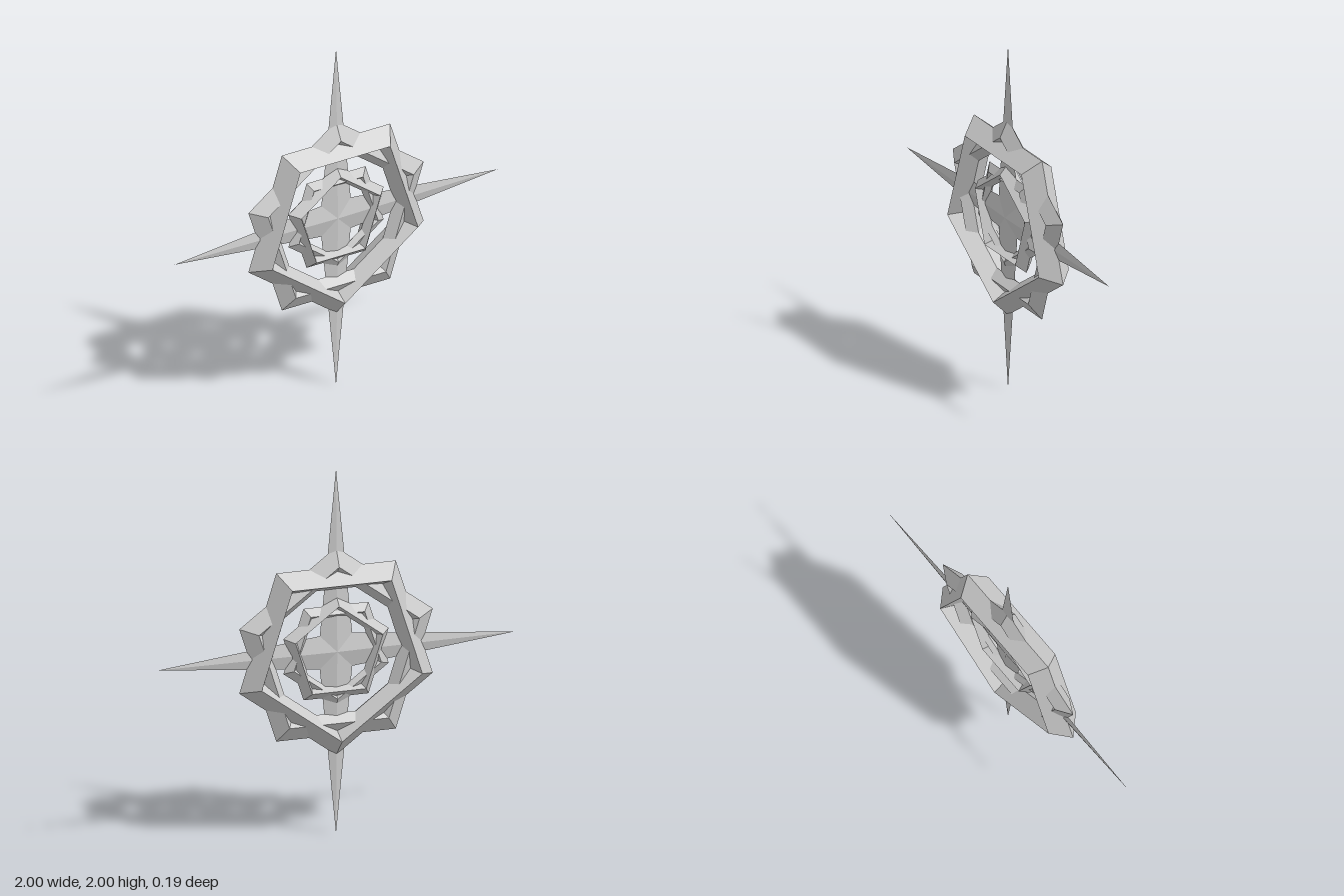
import * as THREE from 'three';

const material = new THREE.MeshStandardMaterial({ color: 0xcccccc, flatShading: true });

// Five-sided ring with a kite-shaped section: outer edge, two ridges, inner edge
function pentagonRing(name, scale, depth, pointsUp) {
  const profile = [[0.57, 0], [0.473, depth], [0.42, 0], [0.473, -depth], [0.57, 0]]
    .map(([r, z]) => new THREE.Vector2(r * scale, z * scale));
  const geometry = new THREE.LatheGeometry(profile, 5);
  geometry.rotateX(Math.PI / 2); // axis along z, one corner pointing down
  if (pointsUp) geometry.rotateZ(Math.PI);
  const ring = new THREE.Mesh(geometry, material);
  ring.name = name;
  return ring;
}

// Long flat diamond, tapering from the centre to both tips
function doubleSpike(name, angle) {
  const geometry = new THREE.OctahedronGeometry(1);
  geometry.scale(0.1, 1, 0.02);
  geometry.rotateZ(angle);
  const spike = new THREE.Mesh(geometry, material);
  spike.name = name;
  return spike;
}

export function createModel() {
  const model = new THREE.Group();
  model.name = 'starOrnament';

  const star = new THREE.Group();
  star.name = 'star';
  star.position.y = 1;
  model.add(star);

  // Crossed spikes
  star.add(doubleSpike('verticalSpike', 0), doubleSpike('horizontalSpike', Math.PI / 2));

  // Each pair: a thick ring and a thinner one turned half a turn
  const inner = 0.31 / 0.57;
  star.add(
    pentagonRing('outerThickRing', 1, 0.093, false),
    pentagonRing('outerThinRing', 1, 0.05, true),
    pentagonRing('innerThickRing', inner, 0.093, true),
    pentagonRing('innerThinRing', inner, 0.05, false),
  );
  return model;
}
